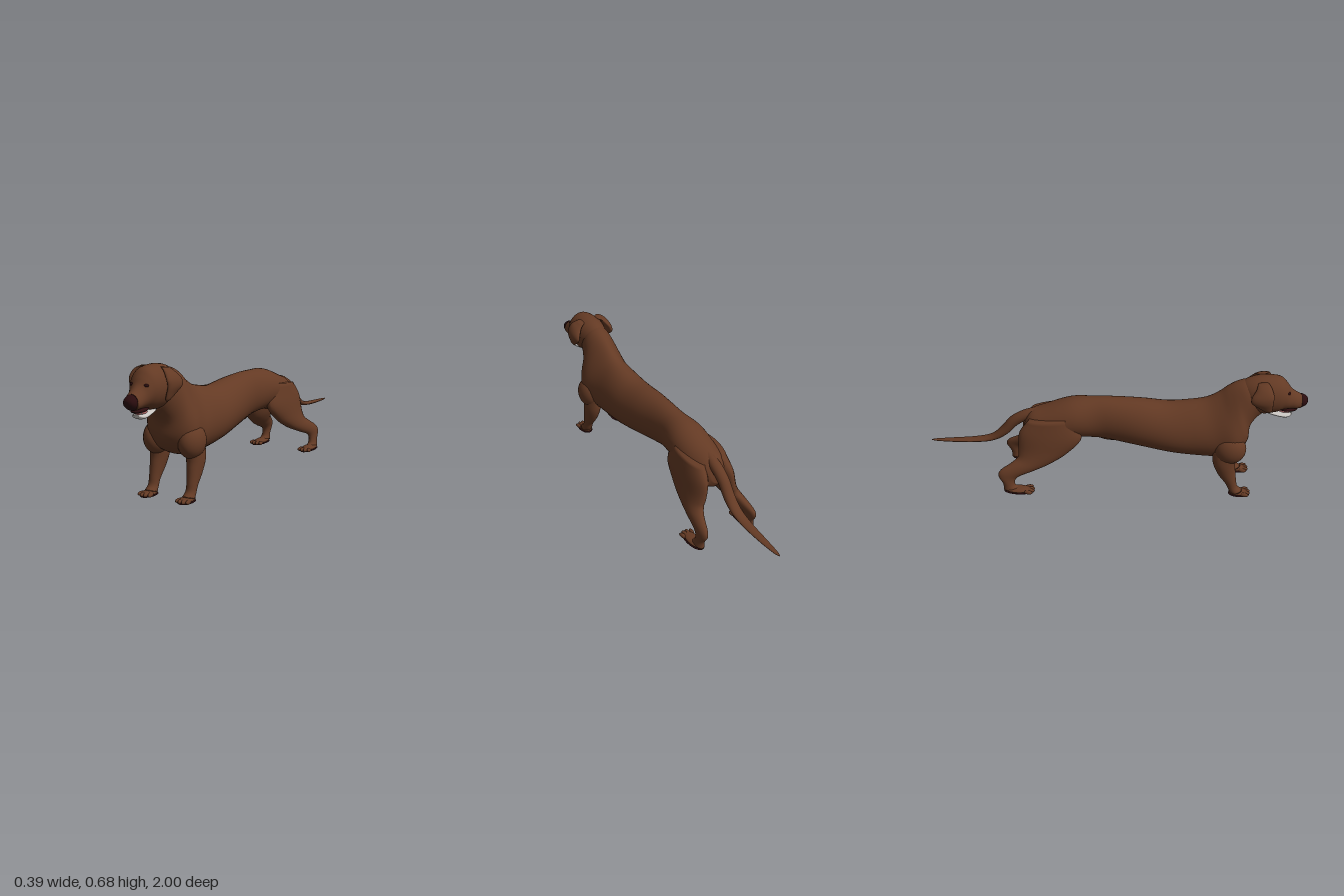
import * as THREE from 'three';

const material = (name, color) => {
  const m = new THREE.MeshStandardMaterial({ color });
  m.name = name;
  return m;
};

// Closed skin over elliptical sections. Each station is
// [z1, y1, z2, y2, halfWidth, x, pear]: two opposite points of the section in side view,
// its half width, its x centre, and how much wider it is towards the second point.
function loft(stations, around = 32, perStation = 5) {
  const curve = (f) => new THREE.CatmullRomCurve3(
    stations.map((s) => new THREE.Vector3(...f(s))), false, 'catmullrom', 0.5);
  const first = curve((s) => [s[5] || 0, s[1], s[0]]);
  const second = curve((s) => [s[4], s[3], s[2]]);
  const shape = curve((s) => [s[6] || 0, 0, 0]);
  const rows = (stations.length - 1) * perStation;
  const pos = [];
  const index = [];
  for (let i = -1; i <= rows + 1; i++) {
    const t = Math.min(Math.max(i / rows, 0), 1);
    const a = first.getPoint(t);
    const b = second.getPoint(t);
    const k = shape.getPoint(t).x;
    const r = i < 0 || i > rows ? 0 : 1; // closed ends
    for (let j = 0; j < around; j++) {
      const ang = (j / around) * Math.PI * 2;
      const c = Math.cos(ang) * r;
      const s = Math.sin(ang) * r;
      pos.push(a.x + b.x * c * (1 - k * s),
        (a.y + b.y) / 2 + ((a.y - b.y) / 2) * s,
        (a.z + b.z) / 2 + ((a.z - b.z) / 2) * s);
    }
  }
  for (let i = 0; i < rows + 2; i++) {
    for (let j = 0; j < around; j++) {
      const p = i * around + j;
      const q = i * around + (j + 1) % around;
      index.push(p, q, p + around, q, q + around, p + around);
    }
  }
  // Turn the faces outward whichever way the stations run
  const A = new THREE.Vector3(), B = new THREE.Vector3(), C = new THREE.Vector3();
  let volume = 0;
  for (let i = 0; i < index.length; i += 3) {
    A.fromArray(pos, index[i] * 3);
    B.fromArray(pos, index[i + 1] * 3);
    C.fromArray(pos, index[i + 2] * 3);
    volume += A.dot(B.cross(C));
  }
  if (volume < 0) index.reverse();
  const g = new THREE.BufferGeometry();
  g.setAttribute('position', new THREE.Float32BufferAttribute(pos, 3));
  g.setIndex(index);
  g.computeVertexNormals();
  return g;
}

export function createModel() {
  const coat = material('brown coat', 0x643a24);
  const dark = material('dark nose and pads', 0x2a0c0e);
  const pale = material('pale chin', 0xc8c4c0);
  const pink = material('pink tongue', 0xc47474);

  const dog = new THREE.Group();
  dog.name = 'dog';
  const add = (name, geometry, mat) => {
    const m = new THREE.Mesh(geometry, mat);
    m.name = name;
    dog.add(m);
    return m;
  };
  const ball = (name, p, r, mat, tilt = 0) => {
    const m = add(name, new THREE.SphereGeometry(1, 24, 16), mat);
    m.position.set(...p);
    m.scale.set(...r);
    m.rotation.x = tilt;
    return m;
  };

  // Torso and neck, rump to throat
  add('body', loft([
    [-0.47, 0.39, -0.49, 0.30, 0.035],
    [-0.44, 0.425, -0.46, 0.26, 0.075],
    [-0.37, 0.452, -0.36, 0.25, 0.10],
    [-0.23, 0.502, -0.20, 0.28, 0.105],
    [-0.10, 0.513, -0.08, 0.275, 0.085],
    [0.00, 0.515, 0.00, 0.262, 0.09],
    [0.14, 0.508, 0.14, 0.238, 0.11, 0, 0.05],
    [0.28, 0.497, 0.30, 0.21, 0.123, 0, 0.1],
    [0.40, 0.513, 0.45, 0.195, 0.123, 0, 0.15],
    [0.48, 0.535, 0.57, 0.20, 0.125, 0, 0.3],
    [0.54, 0.572, 0.66, 0.235, 0.13, 0, 0.4],
    [0.58, 0.605, 0.705, 0.30, 0.115, 0, 0.3],
    [0.62, 0.63, 0.712, 0.38, 0.095, 0, 0.15],
    [0.66, 0.645, 0.74, 0.43, 0.082],
    [0.70, 0.65, 0.77, 0.46, 0.07],
  ], 40), coat);
  ball('sheath', [0, 0.266, -0.03], [0.016, 0.014, 0.055], coat, 0.1);

  // Tail
  add('tail', loft([
    [-0.36, 0.45, -0.37, 0.38, 0.02, 0.002],
    [-0.47, 0.422, -0.445, 0.37, 0.03, 0.003],
    [-0.555, 0.372, -0.52, 0.325, 0.03, 0.005],
    [-0.61, 0.305, -0.58, 0.262, 0.03, 0.008],
    [-0.67, 0.25, -0.655, 0.22, 0.028, 0.01],
    [-0.76, 0.224, -0.76, 0.203, 0.025, 0.012],
    [-0.88, 0.212, -0.88, 0.197, 0.019, 0.013],
    [-0.97, 0.205, -0.97, 0.197, 0.011, 0.013],
    [-1.0, 0.202, -1.0, 0.199, 0.003, 0.013],
  ], 20), coat);

  // Head and muzzle, turned slightly to its left
  add('head', loft([
    [0.64, 0.61, 0.70, 0.50, 0.04],
    [0.665, 0.645, 0.74, 0.47, 0.07],
    [0.72, 0.668, 0.775, 0.462, 0.085],
    [0.785, 0.675, 0.80, 0.465, 0.088, 0.002],
    [0.85, 0.667, 0.84, 0.472, 0.08, 0.004],
    [0.885, 0.635, 0.87, 0.483, 0.066, 0.007],
    [0.91, 0.60, 0.91, 0.487, 0.05, 0.01, 0.1],
    [0.94, 0.577, 0.94, 0.487, 0.044, 0.012, 0.15],
    [0.968, 0.562, 0.965, 0.49, 0.038, 0.015, 0.1],
  ], 32), coat);
  add('nose', loft([
    [0.962, 0.565, 0.962, 0.488, 0.037, 0.016],
    [0.98, 0.558, 0.978, 0.495, 0.034, 0.017],
    [0.994, 0.548, 0.99, 0.505, 0.026, 0.017],
    [1.0, 0.538, 0.998, 0.518, 0.012, 0.017],
  ], 24), dark);

  // Open mouth
  ball('mouthInside', [0.01, 0.483, 0.895], [0.034, 0.014, 0.055], dark, 0.05);
  ball('tongue', [0.01, 0.468, 0.888], [0.022, 0.011, 0.04], pink, -0.05);
  add('lowerJaw', loft([
    [0.80, 0.475, 0.80, 0.458, 0.03, 0.003],
    [0.84, 0.470, 0.84, 0.448, 0.038, 0.004],
    [0.88, 0.466, 0.885, 0.437, 0.038, 0.006],
    [0.91, 0.464, 0.908, 0.440, 0.03, 0.007],
    [0.925, 0.462, 0.92, 0.45, 0.014, 0.008],
  ], 24), pale);

  for (const s of [1, -1]) {
    const side = s > 0 ? 'left' : 'right';
    const mirrored = (list) => loft(list.map((a) => {
      const b = [...a];
      b[5] *= s;
      return b;
    }), 24);

    ball(side + 'Eye', [0.008 + s * 0.038, 0.595, 0.893], [0.014, 0.008, 0.009], dark);
    const fang = add(side + 'Tooth', new THREE.ConeGeometry(0.004, 0.014, 10), pale);
    fang.position.set(0.012 + s * 0.022, 0.473, 0.914);

    // Hanging ear
    add(side + 'Ear', mirrored([
      [0.785, 0.664, 0.73, 0.658, 0.014, 0.055],
      [0.80, 0.648, 0.72, 0.635, 0.02, 0.083],
      [0.812, 0.615, 0.70, 0.605, 0.02, 0.103],
      [0.81, 0.58, 0.70, 0.575, 0.018, 0.108],
      [0.81, 0.545, 0.735, 0.545, 0.014, 0.1],
      [0.808, 0.522, 0.77, 0.52, 0.01, 0.093],
      [0.80, 0.511, 0.782, 0.511, 0.004, 0.09],
    ]), coat);

    // Shoulder and front leg
    ball(side + 'Shoulder', [s * 0.1, 0.285, 0.61], [0.063, 0.085, 0.085], coat, -0.3);
    add(side + 'FrontLeg', mirrored([
      [0.67, 0.30, 0.52, 0.28, 0.04, 0.1],
      [0.645, 0.21, 0.525, 0.20, 0.043, 0.105],
      [0.647, 0.15, 0.555, 0.13, 0.036, 0.108],
      [0.655, 0.09, 0.597, 0.072, 0.028, 0.11],
      [0.664, 0.05, 0.615, 0.035, 0.027, 0.11],
      [0.69, 0.028, 0.63, 0.01, 0.031, 0.11],
    ]), coat);

    // Thigh, hock and pastern
    add(side + 'HindLeg', mirrored([
      [-0.21, 0.43, -0.45, 0.40, 0.045, 0.065],
      [-0.17, 0.31, -0.50, 0.33, 0.052, 0.078],
      [-0.24, 0.225, -0.507, 0.24, 0.05, 0.092],
      [-0.33, 0.165, -0.51, 0.195, 0.042, 0.11],
      [-0.42, 0.125, -0.545, 0.165, 0.032, 0.13],
      [-0.50, 0.095, -0.602, 0.128, 0.024, 0.146],
      [-0.525, 0.07, -0.615, 0.095, 0.021, 0.152],
      [-0.525, 0.04, -0.592, 0.05, 0.021, 0.155],
      [-0.505, 0.025, -0.59, 0.01, 0.026, 0.156],
    ]), coat);

    // Paws with four toes and dark soles
    for (const [name, x, z] of [['Front', 0.11, 0.675], ['Hind', 0.158, -0.505]]) {
      const len = name === 'Front' ? 0.05 : 0.075;
      ball(side + name + 'Paw', [s * x, 0.015, z - 0.005], [0.033, 0.014, len], coat);
      ball(side + name + 'Sole', [s * x, 0.0045, z], [0.036, 0.0045, len + 0.008], dark);
      for (let i = 0; i < 4; i++) {
        const d = i - 1.5;
        const reach = len - 0.012 - Math.abs(d) * 0.008;
        ball(side + name + 'Toe', [s * x + d * 0.018, 0.0135, z + reach],
          [0.0105, 0.0115, 0.024], coat).rotation.y = d * 0.12;
      }
    }
  }
  return dog;
}
